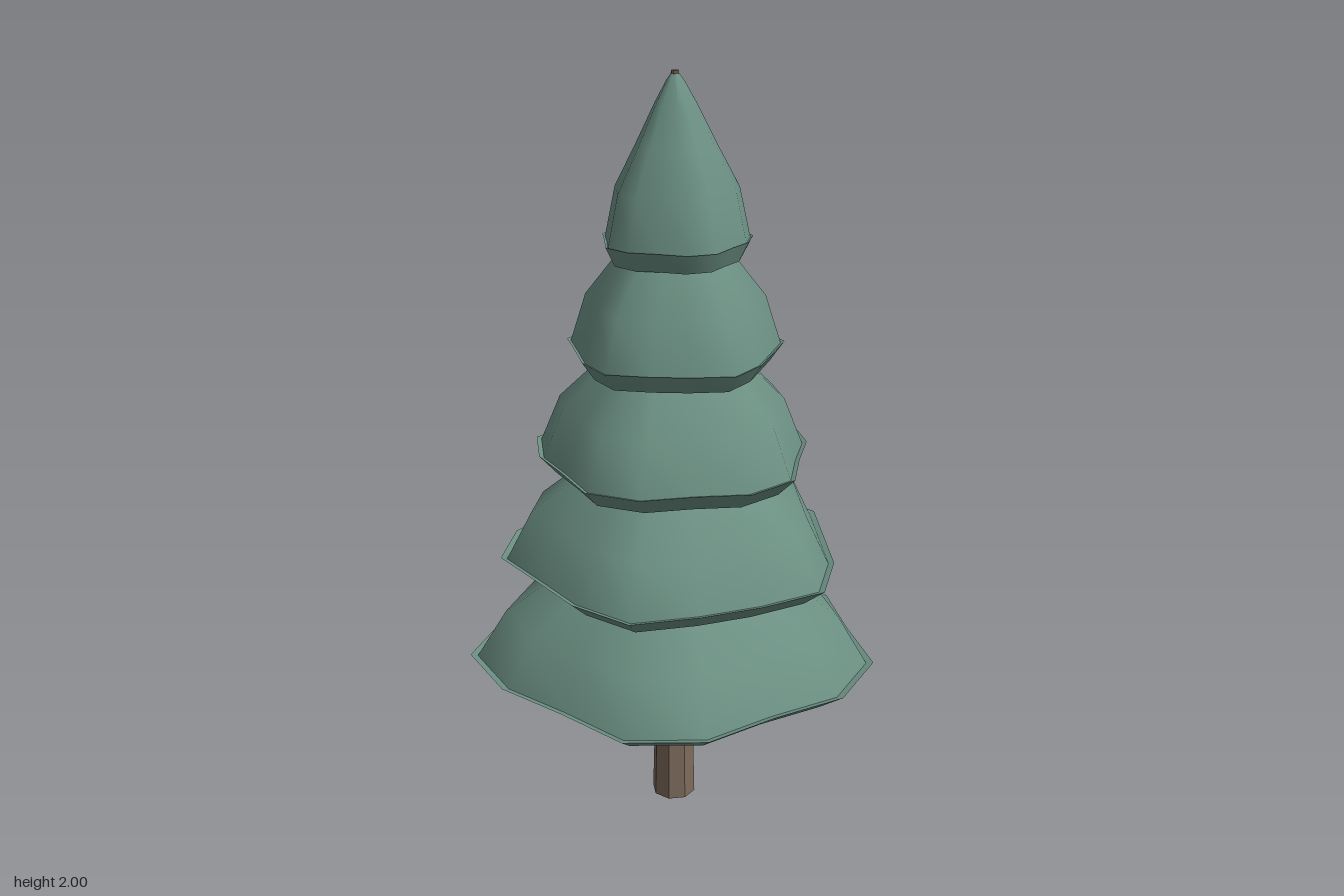
import * as THREE from 'three';
import { mergeVertices, toCreasedNormals } from 'three/addons/utils/BufferGeometryUtils.js';

// Foliage profile: [fraction of the tier radius, height above the tier's rim]
const PROFILE = [
  [0.87, 0], [1, 0.05], [0.965, 0.046], [0.82, 0.174],
  [0.53, 0.28], [0.27, 0.38], [0.11, 0.435], [0.03, 0.455],
];

// Hollow, open-bottomed skirt with five soft lobes; phase turns the lobes
function tierGeometry(radius, phase) {
  const points = PROFILE.map(([r, y]) => new THREE.Vector2(r * radius, y));
  let geometry = new THREE.LatheGeometry(points, 16);
  const p = geometry.attributes.position;
  for (let i = 0; i < p.count; i++) {
    const x = p.getX(i), z = p.getZ(i);
    const lobe = 1 + 0.07 * Math.sin(5 * Math.atan2(-z, x) + phase);
    p.setXYZ(i, x * lobe, p.getY(i), z * lobe);
  }
  geometry.deleteAttribute('uv');
  geometry.deleteAttribute('normal');
  geometry = mergeVertices(geometry, 1e-4);
  return toCreasedNormals(geometry, 0.9);
}

export function createModel() {
  const tree = new THREE.Group();
  tree.name = 'tree';
  const green = new THREE.MeshStandardMaterial({ color: 0x6b8f82, side: THREE.DoubleSide });
  const brown = new THREE.MeshStandardMaterial({ color: 0x7d6b5b, flatShading: true });

  // Tapered trunk running up to the tip
  const trunk = new THREE.Mesh(new THREE.CylinderGeometry(0.01, 0.06, 2, 8), brown);
  trunk.name = 'trunk';
  trunk.position.y = 1;
  tree.add(trunk);

  // Five tiers, each narrower than the one below
  for (let i = 0; i < 5; i++) {
    const tier = new THREE.Mesh(tierGeometry(0.52 - 0.0833 * i, i), green);
    tier.name = `foliageTier${i + 1}`;
    tier.position.y = 0.423 + 0.28 * i;
    tree.add(tier);
  }

  // The lobed lowest tier reaches further back than forward
  tree.position.z = 0.028;
  const model = new THREE.Group();
  model.name = 'conifer';
  model.add(tree);
  return model;
}
